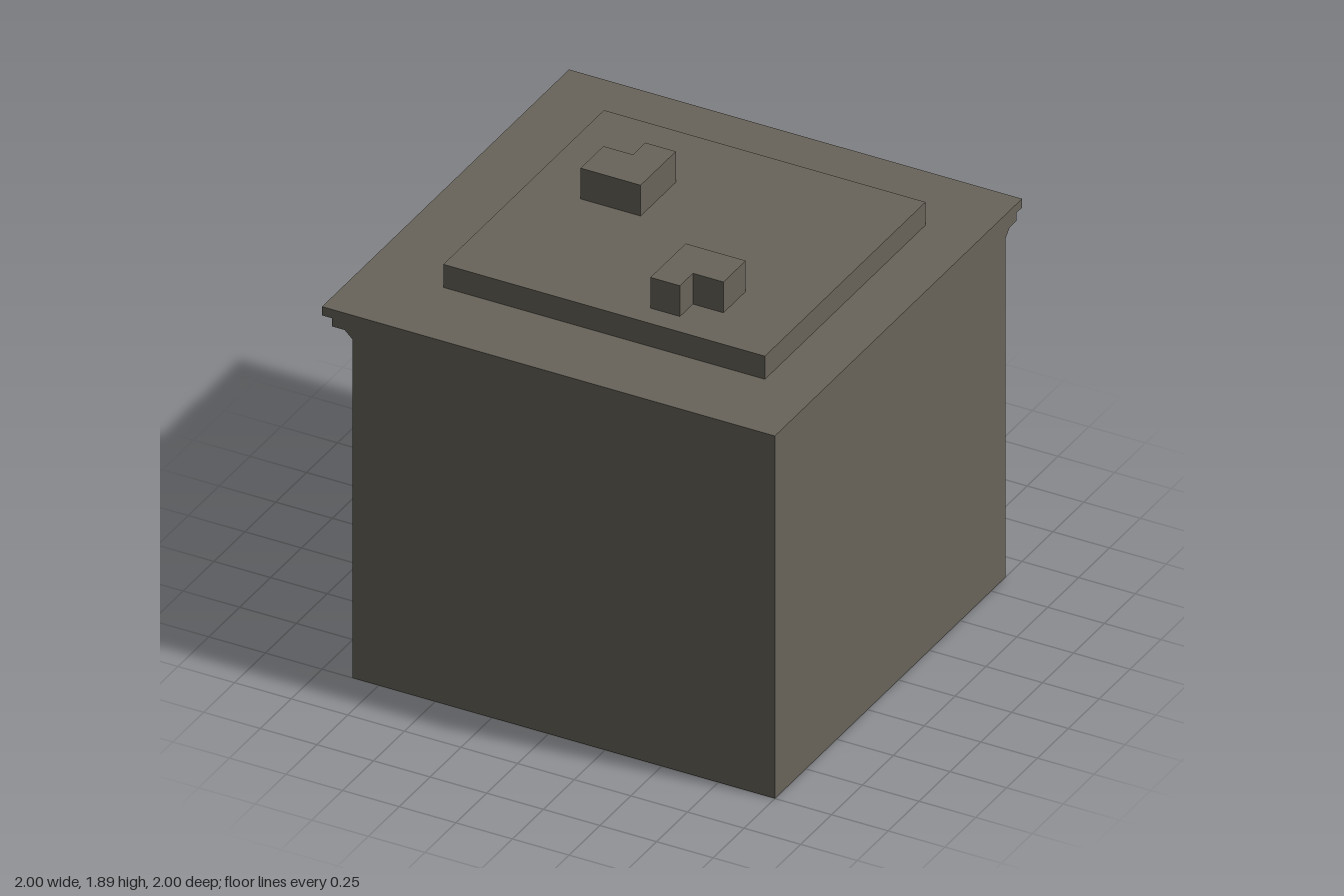
import * as THREE from 'three';

const stone = new THREE.MeshStandardMaterial({ color: 0x68645a, side: THREE.DoubleSide });
stone.name = 'stone';

const WALL = 0.865;            // decorated wall planes sit at -WALL
const BACK = 0.795;            // recessed plane behind the openings
const BAYS = [-0.5625, -0.1425, 0.2775, 0.6975];
const HALF = 0.16, SPRING = 1.345, EAVES = 1.54, TOP = 1.65;

function add(parent, name, geometry, x = 0, y = 0, z = 0) {
  const mesh = new THREE.Mesh(geometry, stone);
  mesh.name = name;
  mesh.position.set(x, y, z);
  parent.add(mesh);
  return mesh;
}

const polygon = (pts) => new THREE.Shape(pts.map(([x, y]) => new THREE.Vector2(x, y)));
const extrude = (shape, depth) =>
  new THREE.ExtrudeGeometry(shape, { depth, bevelEnabled: false, curveSegments: 14 });

// Moulding along x; profile points are [distance out towards -z, height]
function moulding(profile, from, to) {
  return extrude(polygon(profile), to - from).rotateY(Math.PI / 2).translate(from, 0, 0);
}

// Block with a plan outline of [x, z] points
function planBlock(outline, height) {
  return extrude(polygon(outline.map(([x, z]) => [x, -z])), height).rotateX(-Math.PI / 2);
}

// Square cornice stepping out over the two decorated sides, flush on the others
function corniceGeometry(rows) {
  const pos = [];
  const ring = ([o, y]) => [[-o, y, -o], [-o, y, 1], [1, y, 1], [1, y, -o]];
  const quad = (a, b, c, d) => pos.push(...a, ...b, ...c, ...a, ...c, ...d);
  for (let r = 0; r < rows.length - 1; r++) {
    const lo = ring(rows[r]), hi = ring(rows[r + 1]);
    for (let i = 0; i < 4; i++) {
      const j = (i + 1) % 4;
      quad(lo[i], lo[j], hi[j], hi[i]);
    }
  }
  quad(...ring(rows[rows.length - 1]));
  const g = new THREE.BufferGeometry();
  g.setAttribute('position', new THREE.Float32BufferAttribute(pos, 3));
  g.computeVertexNormals();
  return g;
}

function createFacade(name) {
  const facade = new THREE.Group();
  facade.name = name;

  // Piers and arches, with bays open down to the ground
  const s = new THREE.Shape();
  s.moveTo(-WALL, 0);
  for (const c of BAYS) {
    s.lineTo(c - HALF, 0);
    s.lineTo(c - HALF, SPRING);
    s.absarc(c, SPRING, HALF, Math.PI, 0, true);
    s.lineTo(c + HALF, 0);
  }
  s.lineTo(1, 0);
  s.lineTo(1, EAVES);
  s.lineTo(-WALL, EAVES);
  add(facade, 'arcade', extrude(s, WALL - BACK), 0, 0, -WALL);

  // Recessed wall behind the bays
  add(facade, 'recessedWall', new THREE.PlaneGeometry(1 + BACK, EAVES).rotateY(Math.PI),
    (1 - BACK) / 2, EAVES / 2, -BACK);

  // Ledge between base and windows
  add(facade, 'ledge', moulding(
    [[BACK, 0.31], [0.89, 0.31], [0.89, 0.345], [0.905, 0.375], [BACK, 0.375]], -0.9, 0.91));

  const frame = new THREE.Shape();
  frame.absarc(0, 0, HALF, 0, Math.PI, false);
  frame.absarc(0, 0, HALF - 0.018, Math.PI, 0, true);
  const frameGeometry = extrude(frame, 0.025);

  for (const c of BAYS) {
    add(facade, 'archFrame', frameGeometry, c, SPRING, -BACK - 0.025);
    add(facade, 'transom', moulding(
      [[BACK, 1.25], [0.835, 1.285], [0.835, 1.33], [BACK, 1.35]], c - HALF, c + HALF));
    for (const side of [-1, 1]) {
      add(facade, 'mullion', new THREE.BoxGeometry(0.016, 0.14, 0.02),
        c + side * 0.055, SPRING + 0.07, -BACK - 0.01);
    }
    add(facade, 'basePanel', new THREE.BoxGeometry(0.16, 0.31, 0.02), c, 0.155, -BACK - 0.01);
  }
  return facade;
}

export function createModel() {
  const model = new THREE.Group();
  model.name = 'building';

  // Two plain walls
  const width = 1 + WALL, mid = (1 - WALL) / 2;
  add(model, 'frontWall', new THREE.PlaneGeometry(width, EAVES), mid, EAVES / 2, 1);
  add(model, 'leftWall', new THREE.PlaneGeometry(width, EAVES).rotateY(Math.PI / 2), 1, EAVES / 2, mid);

  // Two decorated walls, mirrored across the shared corner
  model.add(createFacade('backFacade'));
  const side = createFacade('rightFacade');
  side.scale.z = -1;
  side.rotation.y = -Math.PI / 2;
  model.add(side);

  // Cornice and roof
  add(model, 'corniceRoof', corniceGeometry([
    [WALL, EAVES], [0.9, 1.573], [0.955, 1.573], [0.955, 1.61], [1, 1.61], [1, TOP]]));
  add(model, 'roofPlatform', new THREE.BoxGeometry(1.42, 0.105, 1.3), 0.055, TOP + 0.0525, 0);

  // L-shaped roof blocks
  add(model, 'roofBlockBack', planBlock([[-0.42, -0.215], [-0.29, -0.215], [-0.29, -0.315],
    [-0.155, -0.315], [-0.155, -0.03], [-0.42, -0.03]], 0.14), 0, 1.755, 0);
  add(model, 'roofBlockFront', planBlock([[0.205, 0.265], [0.47, 0.265], [0.47, 0.445],
    [0.335, 0.445], [0.335, 0.55], [0.205, 0.55]], 0.14), 0, 1.755, 0);
  return model;
}
